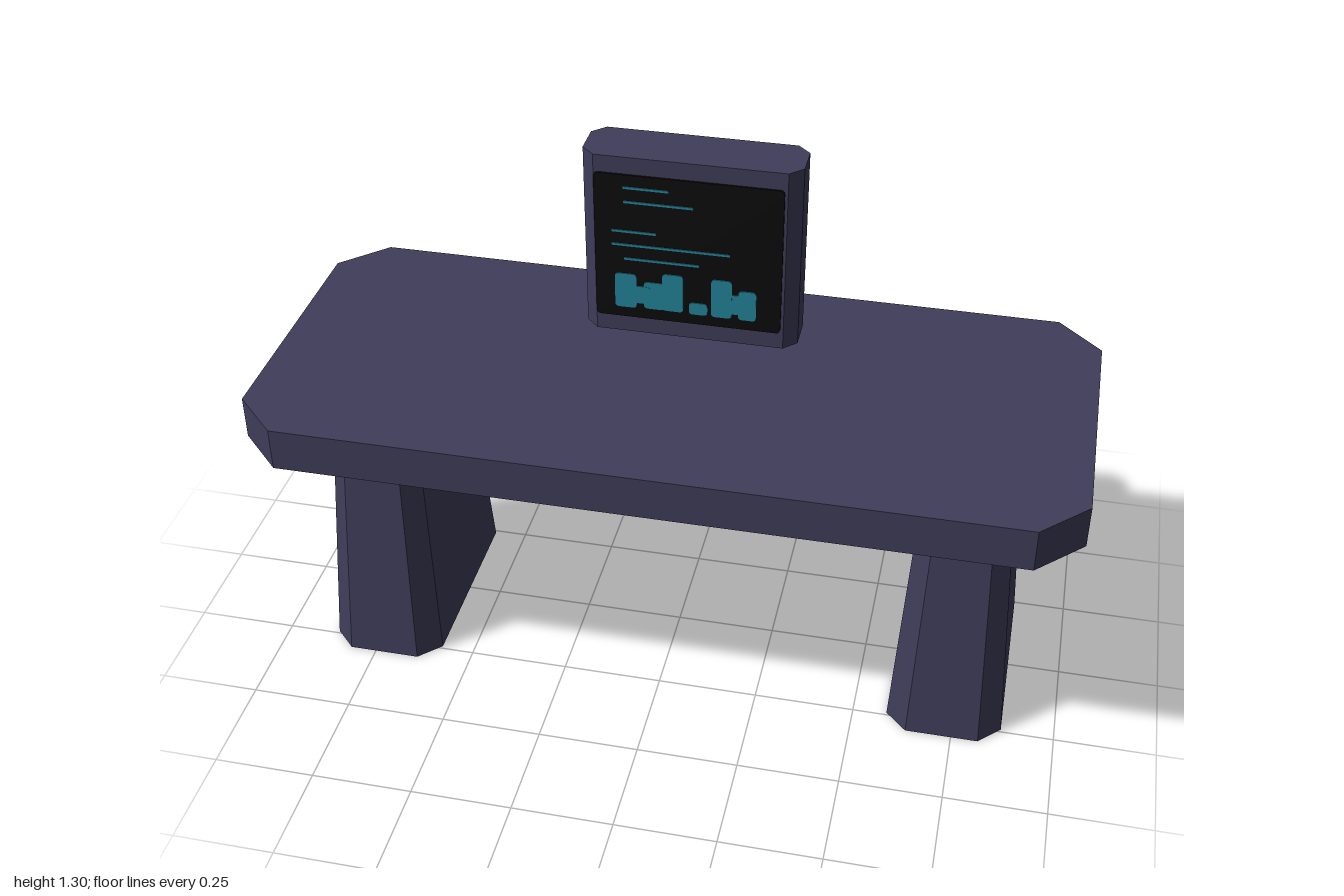
import * as THREE from 'three';

const frame = new THREE.MeshStandardMaterial({ name: 'dark slate violet', color: 0x3f3d59 });
const black = new THREE.MeshStandardMaterial({ name: 'screen black', color: 0x0c0c0c });
const teal = new THREE.MeshStandardMaterial({ name: 'display teal', color: 0x23879b });

// Upright eight-sided block with cut corners, optionally narrowing to the top
function chamferedBlock(name, halfX, halfZ, cut, height, topScaleX = 1, topScaleZ = 1) {
  const x = halfX, z = halfZ, c = cut;
  const outline = new THREE.Shape([
    [x, -z + c], [x, z - c], [x - c, z], [-x + c, z],
    [-x, z - c], [-x, -z + c], [-x + c, -z], [x - c, -z],
  ].map(([a, b]) => new THREE.Vector2(a, b)));
  const geometry = new THREE.ExtrudeGeometry(outline, { depth: height, bevelEnabled: false });
  geometry.rotateX(-Math.PI / 2);
  const p = geometry.attributes.position;
  for (let i = 0; i < p.count; i++) {
    const t = p.getY(i) / height;
    p.setX(i, p.getX(i) * (1 + (topScaleX - 1) * t));
    p.setZ(i, p.getZ(i) * (1 + (topScaleZ - 1) * t));
  }
  geometry.computeVertexNormals();
  const mesh = new THREE.Mesh(geometry, frame);
  mesh.name = name;
  return mesh;
}

// Thin plate facing forward, with its corners rounded by radius r
function plate(name, x0, x1, y0, y1, r, z, depth, material) {
  const s = new THREE.Shape();
  s.moveTo(x0 + r, y0);
  s.lineTo(x1 - r, y0);
  s.quadraticCurveTo(x1, y0, x1, y0 + r);
  s.lineTo(x1, y1 - r);
  s.quadraticCurveTo(x1, y1, x1 - r, y1);
  s.lineTo(x0 + r, y1);
  s.quadraticCurveTo(x0, y1, x0, y1 - r);
  s.lineTo(x0, y0 + r);
  s.quadraticCurveTo(x0, y0, x0 + r, y0);
  const geometry = new THREE.ExtrudeGeometry(s, { depth, bevelEnabled: false, curveSegments: 4 });
  const mesh = new THREE.Mesh(geometry, material);
  mesh.name = name;
  mesh.position.z = z;
  return mesh;
}

export function createModel() {
  const model = new THREE.Group();
  model.name = 'desk with floating monitor';

  // Table top and the two tapered pedestals
  const top = chamferedBlock('tableTop', 1, 0.432, 0.11, 0.108);
  top.position.y = 0.677;
  model.add(top);
  for (const side of [-1, 1]) {
    const leg = chamferedBlock(side > 0 ? 'leftLeg' : 'rightLeg', 0.143, 0.295, 0.053, 0.677, 0.74, 0.78);
    leg.position.x = side * 0.727;
    model.add(leg);
  }

  // Monitor hovering above the table
  const monitor = new THREE.Group();
  monitor.name = 'monitor';
  const housing = chamferedBlock('monitorHousing', 0.265, 0.072, 0.032, 0.48);
  housing.position.set(0, 0.822, -0.181);
  monitor.add(housing);
  monitor.add(plate('screen', -0.232, 0.226, 0.867, 1.258, 0.012, -0.11, 0.006, black));

  // Thin readout lines: start, end, height
  const lines = [
    [-0.16, -0.05, 1.225], [-0.16, 0.01, 1.187], [-0.19, -0.08, 1.107],
    [-0.19, 0.1, 1.07], [-0.16, 0.025, 1.032],
  ];
  for (const [x0, x1, y] of lines) {
    monitor.add(plate('readoutLine', x0, x1, y - 0.003, y + 0.003, 0.001, -0.104, 0.002, teal));
  }

  // Chunky bar graph: left, right, bottom, top
  const bars = [
    [-0.184, -0.13, 0.895, 0.99], [-0.14, -0.095, 0.91, 0.958], [-0.112, -0.06, 0.897, 0.972],
    [-0.066, -0.014, 0.897, 1.0], [0, 0.046, 0.895, 0.928], [0.055, 0.106, 0.895, 1.0],
    [0.1, 0.138, 0.908, 0.962], [0.122, 0.166, 0.895, 0.976],
  ];
  bars.forEach(([x0, x1, y0, y1], i) => {
    monitor.add(plate('graphBar', x0, x1, y0, y1, 0.01, -0.104, 0.002 + (i % 2) * 0.0005, teal));
  });
  model.add(monitor);

  return model;
}
